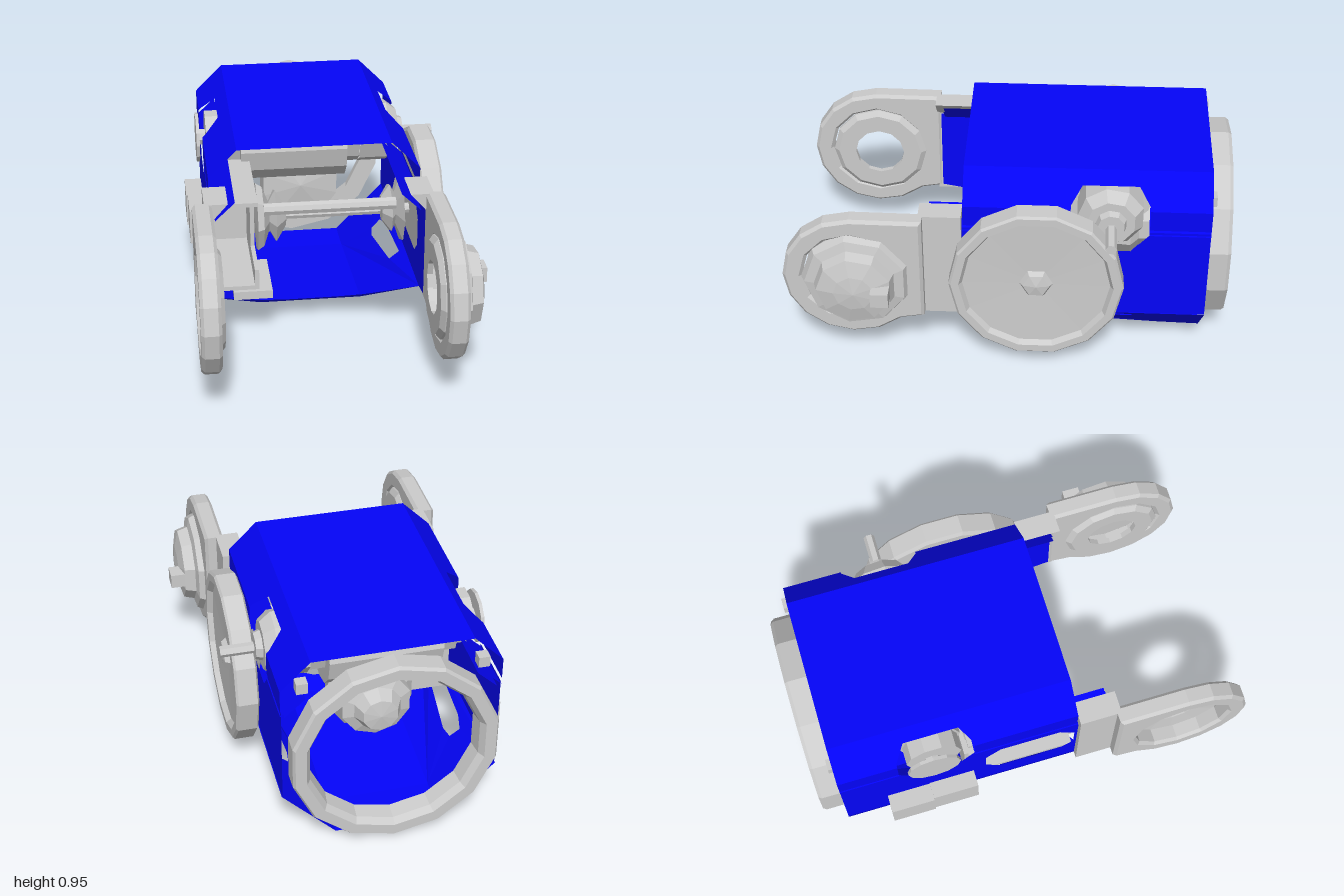
import * as THREE from 'three';

const CX = -0.08; // symmetry plane of the body
const grey = new THREE.MeshStandardMaterial({ color: 0xcccccc, flatShading: true, side: THREE.DoubleSide });
const blue = new THREE.MeshStandardMaterial({ color: 0x0404f8, flatShading: true, side: THREE.DoubleSide });
const toShape = (pts) => new THREE.Shape(pts.map(([a, b]) => new THREE.Vector2(a, b)));
const lerp = THREE.MathUtils.lerp;

export function createModel() {
  const root = new THREE.Group();

  const add = (name, geo, mat = grey) => {
    const mesh = new THREE.Mesh(geo, mat);
    mesh.name = name;
    root.add(mesh);
    return mesh;
  };

  // Thin sheet: a flat outline with holes, placed in space by a rule (u, v) -> [x, y, z]
  const panel = (name, pts, map, holes = []) => {
    const shape = toShape(pts);
    shape.holes = holes.map(toShape);
    const geo = new THREE.ShapeGeometry(shape);
    const p = geo.attributes.position;
    for (let i = 0; i < p.count; i++) p.setXYZ(i, ...map(p.getX(i), p.getY(i)));
    geo.computeVertexNormals();
    add(name, geo, blue);
  };

  // Turned part along x or z; profile is [radius, position along axis]
  const turned = (name, profile, sides, axis, x, y, z) => {
    const geo = new THREE.LatheGeometry(profile.map(([r, h]) => new THREE.Vector2(r, h)), sides);
    if (axis === 'x') geo.rotateZ(-Math.PI / 2);
    else geo.rotateX(Math.PI / 2);
    add(name, geo).position.set(x, y, z);
  };
  const rod = (name, r, x0, x1, y, z, sides = 8) =>
    turned(name, [[0, x0], [r, x0], [r, x1], [0, x1]], sides, 'x', 0, y, z);
  const box = (name, x0, x1, y0, y1, z0, z1) =>
    add(name, new THREE.BoxGeometry(x1 - x0, y1 - y0, z1 - z0))
      .position.set((x0 + x1) / 2, (y0 + y1) / 2, (z0 + z1) / 2);

  // Bevelled plate in the side plane (z, y) with a hole, thickened along x
  const plate = (name, pts, x0, x1, hole) => {
    const bevel = 0.014;
    const shape = toShape(pts.map(([z, y]) => [-z, y]));
    shape.holes.push(toShape(hole.map(([z, y]) => [-z, y])));
    const geo = new THREE.ExtrudeGeometry(shape, {
      depth: x1 - x0 - 2 * bevel, bevelThickness: bevel, bevelSize: bevel, bevelOffset: -bevel, bevelSegments: 1,
    });
    geo.rotateY(Math.PI / 2);
    add(name, geo).position.x = x0 + bevel;
  };
  const arc = (r, from, to, n) => Array.from({ length: n + 1 }, (_, i) => {
    const a = lerp(from, to, i / n);
    return [0.69 + r * Math.cos(a), 0.47 + r * Math.sin(a)];
  });

  // Body shell: top sheet
  panel('topCover', [[-0.43, -0.9], [0.27, -0.9], [0.27, 0.195], [-0.43, 0.195]], (x, z) => [x, 0.95, z]);

  // Underside strips, the last one rising to a notched front lip
  const floorY = (z) => {
    if (z < -0.7) return 0.025 * (z + 0.9);
    return z < 0 ? 0.005 + 0.093 * (z + 0.7) : 0.07 + 0.65 * z;
  };
  const onFloor = (x, z) => [x, floorY(z), z];
  for (const [z0, z1] of [[-0.9, -0.7], [-0.7, 0]])
    panel('floorPan', [[-0.32, z0], [0.16, z0], [0.16, z1], [-0.32, z1]], onFloor);
  panel('floorLip', [[-0.32, 0], [0.16, 0], [0.16, 0.11], [0.03, 0.07], [-0.19, 0.07], [-0.32, 0.11]], onFloor);

  for (const s of [1, -1]) {
    const X = (x) => CX + s * (x - CX); // mirror about the body centre

    // Upper chamfer with the notch for the cross drum
    panel('upperChamfer',
      [[-0.9, 0], [0.195, 0], [0.195, 1], [-0.28, 1], [-0.28, 0.9], [-0.33, 0.4], [-0.58, 0.4], [-0.63, 0.9], [-0.63, 1], [-0.9, 1]],
      (z, t) => [X(lerp(0.27, 0.4, t)), lerp(0.95, 0.82, t), z]);
    for (const [z0, z1] of [[-0.9, -0.63], [-0.28, 0.195]])
      panel('coverSide', [[z0, 0.72], [z1, 0.72], [z1, 0.82], [z0, 0.82]], (z, y) => [X(0.4), y, z]);

    // Side wall with rounded window
    panel('sideWall',
      [[-0.9, 0.25], [0.26, 0.25], [0.37, 0.27], [0.37, 0.69], [0.2, 0.705], [-0.28, 0.705], [-0.36, 0.6], [-0.55, 0.6],
        [-0.63, 0.69], [-0.63, 0.705], [-0.9, 0.705]],
      (z, y) => [X(0.396), y, z],
      [[[-0.23, 0.45], [-0.16, 0.37], [0.12, 0.37], [0.19, 0.43], [0.19, 0.56], [0.12, 0.63], [-0.16, 0.63], [-0.23, 0.56]]]);

    // Inward flange, double skinned, with its front tab
    for (const d of [0, 0.018]) {
      const map = (z, t) => [X(lerp(0.4, 0.31, t) - d), lerp(0.69, 0.775, t) - d / 2, z];
      panel('flangeFront', [[-0.28, 0], [0.35, 0], [0.35, 1], [-0.28, 1]], map);
      panel('flangeRear', [[-0.9, 0], [-0.63, 0], [-0.63, 1], [-0.9, 1]], map);
    }

    // Lower chamfer with slot
    panel('lowerChamfer',
      [[-0.9, 0], [0.26, 0], [0.11, 1], [0, 1], [-0.7, 1], [-0.9, 1]],
      (z, t) => [X(lerp(0.4, 0.16, t)), lerp(0.25, floorY(z), t), z],
      [[[-0.15, 0.12], [-0.15, 0.32], [-0.5, 0.46], [-0.57, 0.42], [-0.58, 0.24], [-0.5, 0.17]]]);

    // Front bracket: hugs the wall and sits on the flange
    const section = [[0.43, 0.25], [0.43, 0.78], [0.325, 0.78], [0.405, 0.69], [0.4, 0.25]];
    add('frontBracket', new THREE.ExtrudeGeometry(toShape(section.map(([x, y]) => [X(x), y])), { depth: 0.19, bevelEnabled: false }))
      .position.z = 0.2;

    // Small latch at the rear corner
    const latchX = X(0.31);
    box('rearLatch', latchX - 0.025, latchX + 0.025, 0.81, 0.86, -0.92, -0.87);

    // Front wheel plate and inner disc
    plate('frontWheelPlate',
      [[0.37, 0.78], ...arc(0.313, Math.PI / 2, -Math.PI * 0.74, 10), [0.37, 0.26]],
      Math.min(X(0.395), X(0.483)), Math.max(X(0.395), X(0.483)), arc(0.225, 0, Math.PI * 1.833, 11));
    turned('frontWheelDisc',
      [[0.12, 0.4], [0.12, 0.375], [0.205, 0.375], [0.23, 0.395], [0.23, 0.41], [0.12, 0.4]].map(([r, x]) => [r, X(x)]),
      12, 'x', 0, 0.47, 0.68);
  }

  // Domed hub on the left front wheel
  turned('frontHub', [[0, 0.46], [0.25, 0.47], [0.23, 0.51], [0.185, 0.52], [0.17, 0.57], [0.09, 0.59], [0, 0.6]], 9, 'x', 0, 0.465, 0.67);
  box('hubKnob', 0.56, 0.638, 0.43, 0.5, 0.51, 0.59);

  // Large side wheel and its axle
  turned('sideWheel',
    [[0, 0.41], [0.37, 0.41], [0.39, 0.42], [0.39, 0.505], [0.38, 0.515], [0.345, 0.515], [0.33, 0.49], [0, 0.48]],
    14, 'x', 0, 0.473, -0.135);
  turned('sideWheelHub', [[0.08, 0.475], [0.06, 0.505], [0, 0.515]], 6, 'x', 0, 0.473, -0.135);
  rod('axle', 0.025, -0.25, 0.42, 0.467, -0.135);
  rod('tieRod', 0.03, -0.3, 0.32, 0.57, 0.02);

  // Rear ring
  turned('rearRing',
    [[0.37, -0.9], [0.46, -0.9], [0.46, -0.985], [0.45, -1], [0.4, -1], [0.38, -0.97], [0.37, -0.9]],
    14, 'z', CX, 0.473, 0);

  // Rear nozzle inside the shell
  turned('rearNozzle',
    [[0, -0.42], [0.19, -0.45], [0.2, -0.56], [0.16, -0.6], [0.16, -0.66], [0.11, -0.68], [0.08, -0.74], [0, -0.75]],
    10, 'z', CX, 0.48, 0);

  // Cross drum with caps through both sides
  rod('crossDrum', 0.2, -0.38, 0.13, 0.735, -0.46, 12);
  rod('drumCollar', 0.14, -0.46, 0.2, 0.74, -0.46, 10);
  turned('drumEnd', [[0.15, 0.2], [0.15, 0.34], [0.11, 0.39], [0.07, 0.39], [0.06, 0.42], [0, 0.42]], 9, 'x', 0, 0.745, -0.46);
  rod('drumPin', 0.025, 0.4, 0.57, 0.735, -0.46, 6);
  rod('drumCap', 0.125, -0.54, -0.46, 0.75, -0.46, 10);
  rod('drumCapDisc', 0.12, -0.585, -0.57, 0.745, -0.47, 12);
  rod('capStem', 0.04, -0.57, -0.54, 0.745, -0.47, 8);

  // Stepped box on the right wall
  box('sideBoxRear', -0.642, -0.56, 0.26, 0.42, -0.7, -0.5);
  box('sideBoxFront', -0.635, -0.56, 0.26, 0.43, -0.5, -0.29);

  // Channel bracket inside, open toward the front and the wall
  box('channelTop', -0.52, -0.34, 0.67, 0.69, -0.3, 0.2);
  box('channelBottom', -0.52, -0.34, 0.25, 0.27, -0.3, 0.2);
  box('channelLip', -0.36, -0.34, 0.27, 0.35, -0.3, 0.2);
  box('channelWeb', -0.36, -0.34, 0.27, 0.67, -0.3, -0.05);
  box('channelBack', -0.52, -0.34, 0.25, 0.59, -0.32, -0.3);
  box('channelFoot', -0.46, -0.28, 0.21, 0.25, -0.1, 0.22);

  // Faceted gears at both ends of the axle
  turned('gearRight', [[0, -0.34], [0.17, -0.33], [0.15, -0.3], [0.07, -0.27], [0.13, -0.24], [0.05, -0.19], [0, -0.19]], 8, 'x', 0, 0.49, -0.08);
  turned('gearLeft', [[0, 0.27], [0.06, 0.27], [0.12, 0.31], [0.08, 0.33], [0.17, 0.36], [0, 0.38]], 8, 'x', 0, 0.49, -0.1);

  return root;
}
